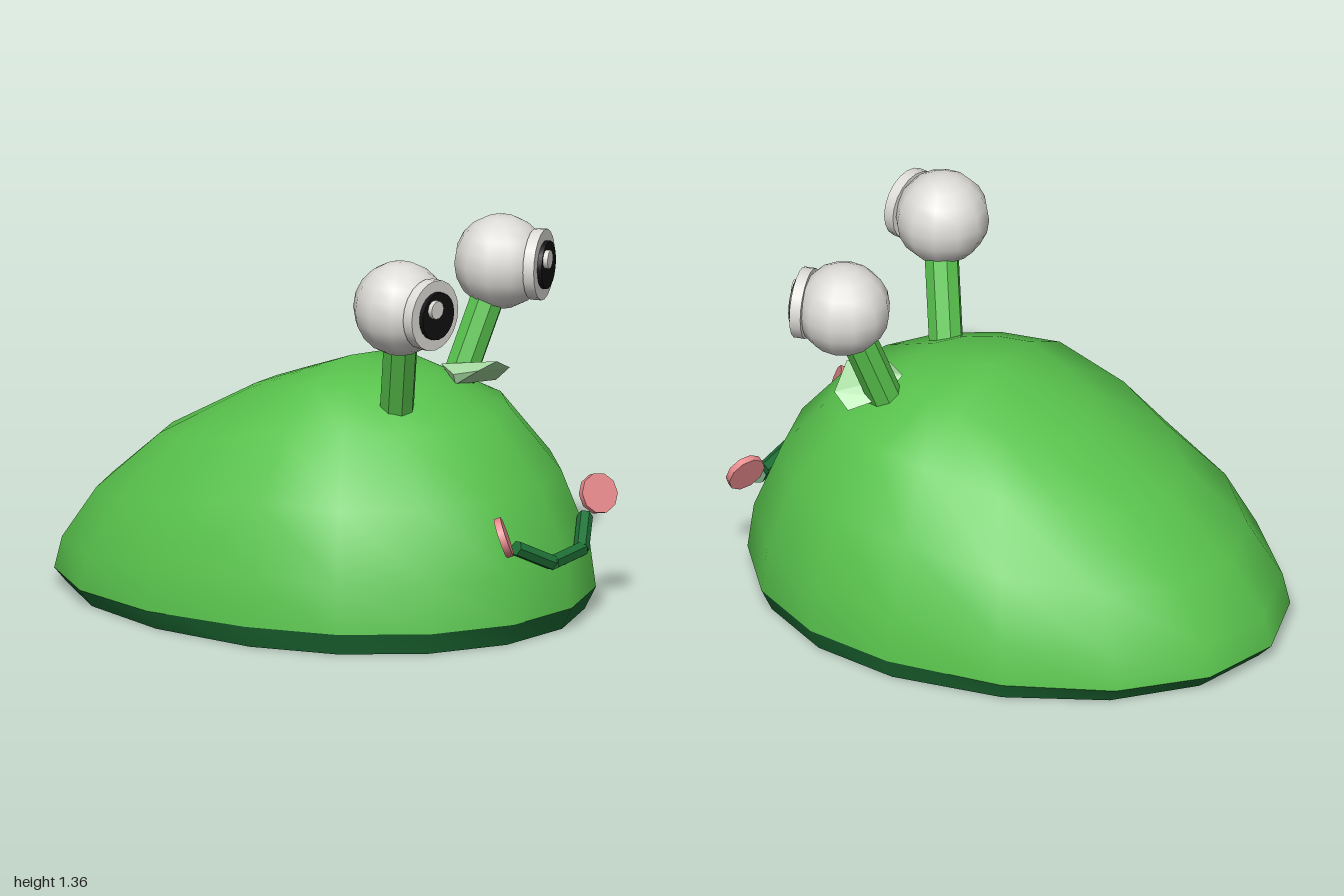
import * as THREE from 'three';
import { mergeVertices, toCreasedNormals } from 'three/addons/utils/BufferGeometryUtils.js';
import { ConvexGeometry } from 'three/addons/geometries/ConvexGeometry.js';

const V = (x, y, z) => new THREE.Vector3(x, y, z);
const UP = V(0, 1, 0);

function material(name, color) {
  const m = new THREE.MeshStandardMaterial({ color });
  m.name = name;
  return m;
}

function addMesh(parent, name, geometry, mat) {
  const mesh = new THREE.Mesh(geometry, mat);
  mesh.name = name;
  parent.add(mesh);
  return mesh;
}

// Lathe stretched into an egg outline, sinking towards the tail
function eggLathe(profile) {
  const g = new THREE.LatheGeometry(profile.map(([r, y]) => new THREE.Vector2(r, y)), 16);
  const p = g.attributes.position;
  for (let i = 0; i < p.count; i++) {
    const u = p.getX(i);
    const x = 0.11 + u * (u < 0 ? 1.11 : 0.88);
    const sink = 1 - 0.335 * Math.max(0, 0.11 - x);
    p.setXYZ(i, x, p.getY(i) * sink, p.getZ(i) * 0.775);
  }
  g.deleteAttribute('uv');
  g.deleteAttribute('normal');
  const merged = mergeVertices(g, 1e-4);
  merged.computeVertexNormals();
  return merged;
}

// Straight faceted rod between two points
function rod(a, b, radius, sides) {
  const g = new THREE.CylinderGeometry(radius, radius, a.distanceTo(b), sides);
  const q = new THREE.Quaternion().setFromUnitVectors(UP, b.clone().sub(a).normalize());
  g.applyQuaternion(q);
  g.translate((a.x + b.x) / 2, (a.y + b.y) / 2, (a.z + b.z) / 2);
  return toCreasedNormals(g, 0.3);
}

// Round plate centred on a point, facing along a normal
function disc(center, normal, radius, thickness, sides) {
  const n = normal.clone().normalize().multiplyScalar(thickness / 2);
  const g = new THREE.CylinderGeometry(radius, radius, thickness, sides);
  g.applyQuaternion(new THREE.Quaternion().setFromUnitVectors(UP, n.normalize()));
  g.translate(center.x, center.y, center.z);
  return g;
}

export function createModel() {
  const green = material('bodyGreen', 0x59c44d);
  const dark = material('darkGreen', 0x1f7238);
  const pale = material('paleGreen', 0xa9dba3);
  const white = material('eyeWhite', 0xdedcd8);
  const black = material('pupilBlack', 0x111111);
  const pink = material('cheekPink', 0xe88a8c);

  const model = new THREE.Group();
  model.name = 'slugCreature';

  // Domed body over a dark sole
  addMesh(model, 'body', eggLathe([
    [1, 0.08], [0.974, 0.25], [0.858, 0.5], [0.645, 0.722], [0.348, 0.842], [0, 0.885],
  ]), green);
  addMesh(model, 'sole', toCreasedNormals(eggLathe([[0, 0], [0.955, 0], [1, 0.08]]), 0.6), dark);

  for (const s of [1, -1]) {
    const side = s > 0 ? 'left' : 'right';

    // Stalk and eye, turned slightly outwards
    addMesh(model, side + 'Stalk', rod(V(0.415, 0.79, 0.225 * s), V(0.495, 1.13, 0.335 * s), 0.062, 8), green);
    const eye = new THREE.Group();
    eye.name = side + 'Eye';
    eye.position.set(0.505, 1.19, 0.365 * s);
    eye.rotation.y = -0.2 * s;
    model.add(eye);
    addMesh(eye, 'eyeball', new THREE.SphereGeometry(0.167, 12, 10), white);
    addMesh(eye, 'eyeDisc', disc(V(0.14, 0, 0), V(1, 0, 0), 0.126, 0.04, 20), white);
    addMesh(eye, 'pupil', disc(V(0.163, 0, 0), V(1, 0, 0), 0.085, 0.026, 20), black);
    addMesh(eye, 'glint', disc(V(0.18, 0.03, 0.03 - 0.006 * s), V(1, 0, 0), 0.033, 0.026, 10), white);

    // Cheek
    addMesh(model, side + 'Cheek',
      disc(V(0.907, 0.405, 0.343 * s), V(0.82, 0.33, -0.46 * s), 0.072, 0.025, 10), pink);
  }

  // Smile made of three straight rods
  const smile = [V(0.905, 0.345, 0.25), V(0.97, 0.267, 0.105), V(0.97, 0.267, -0.105), V(0.905, 0.345, -0.25)];
  const mouth = new THREE.Group();
  mouth.name = 'mouth';
  model.add(mouth);
  for (let i = 0; i < 3; i++) addMesh(mouth, 'mouthSegment', rod(smile[i], smile[i + 1], 0.028, 6), dark);

  // Small leaf at the foot of the right stalk
  addMesh(model, 'leaf', new ConvexGeometry([
    V(0.38, 0.85, -0.16), V(0.47, 0.84, -0.085), V(0.55, 0.855, -0.12), V(0.58, 0.875, -0.2),
    V(0.56, 0.82, -0.33), V(0.47, 0.8, -0.1), V(0.5, 0.765, -0.34), V(0.4, 0.8, -0.25),
  ]), pale);

  return model;
}
